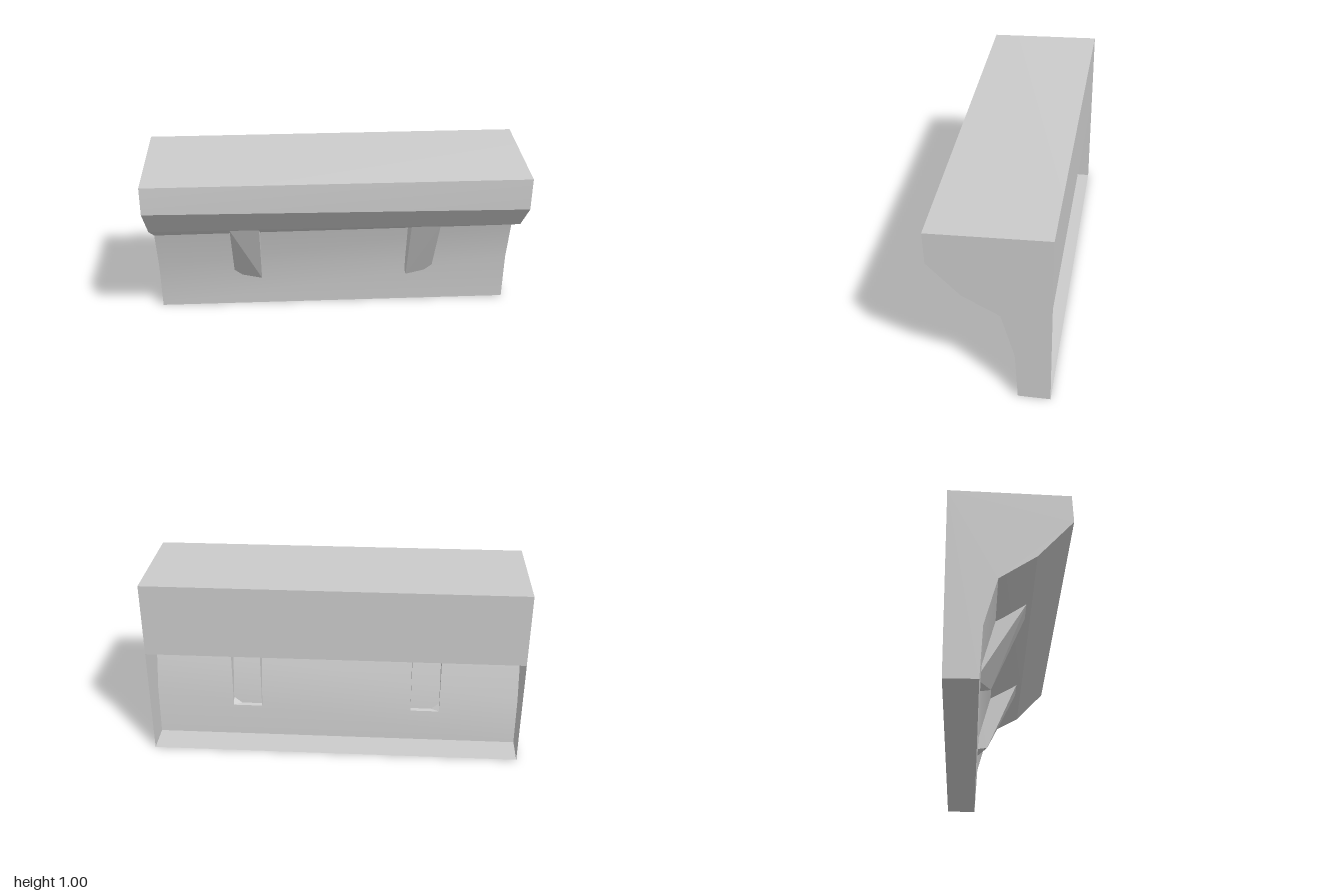
import * as THREE from 'three';

const grey = new THREE.MeshStandardMaterial({ color: 0xcccccc, side: THREE.DoubleSide });
grey.name = 'plain grey';

// Shell outline as [z, y], from the lower edge of the back panel, over the top, down to the base
const rightEnd = [[-0.305, 0.6], [-0.305, 1], [0.297, 0.978], [0.292, 0.803], [0.13, 0.63],
  [-0.057, 0.525], [-0.125, 0.275], [-0.14, 0], [-0.305, 0]];
const leftEnd = [[-0.305, 0.6], [-0.305, 1], [0.298, 0.98], [0.305, 0.832], [0.128, 0.637],
  [-0.057, 0.513], [-0.125, 0.268], [-0.14, 0], [-0.305, 0]];

function addMesh(group, name, geometry) {
  const mesh = new THREE.Mesh(geometry, grey);
  mesh.name = name;
  group.add(mesh);
}

// Lofts outline rows between the two ends; rows within one strip share smooth normals
function strip(from, to) {
  const pos = [], index = [];
  for (let i = from; i <= to; i++) {
    pos.push(-1, leftEnd[i][1], leftEnd[i][0], 1, rightEnd[i][1], rightEnd[i][0]);
  }
  for (let i = 0; i < to - from; i++) {
    const a = 2 * i;
    index.push(a, a + 2, a + 1, a + 1, a + 2, a + 3);
  }
  const g = new THREE.BufferGeometry();
  g.setAttribute('position', new THREE.Float32BufferAttribute(pos, 3));
  g.setIndex(index);
  g.computeVertexNormals();
  return g;
}

// Flat end wall following the full outline
function endWall(outline, side) {
  const points = outline.slice(1).map(([z, y]) => new THREE.Vector2(-side * z, y));
  const g = new THREE.ShapeGeometry(new THREE.Shape(points));
  g.rotateY(side * Math.PI / 2);
  g.translate(side, 0, 0);
  return g;
}

// Twisted wedge bracket, open at the back; side = 1 or -1 mirrors it
function bracket(side) {
  const inner = 0.414, outer = 0.572, back = -0.15;
  const A = [inner, 0.617, 0.1], B = [outer, 0.617, 0.1];
  const C = [inner, 0.208, -0.075];
  const F = [outer, 0.197, back], G = [inner, 0.197, back];
  const H = [outer, 0.63, back], K = [inner, 0.63, back];
  const faces = [
    [A, C, B], [B, C, F],   // front
    [C, G, F],              // underside
    [B, F, H],              // outer wall
    [A, K, C], [K, G, C],   // inner wall
  ];
  const pos = [];
  for (const f of faces) {
    const corners = side > 0 ? f : [f[0], f[2], f[1]];
    for (const [x, y, z] of corners) pos.push(side * x, y, z);
  }
  const g = new THREE.BufferGeometry();
  g.setAttribute('position', new THREE.Float32BufferAttribute(pos, 3));
  g.computeVertexNormals();
  return g;
}

export function createModel() {
  const model = new THREE.Group();
  model.name = 'ledge';

  // Long faces of the hollow shell
  addMesh(model, 'backPanel', strip(0, 1));
  addMesh(model, 'topSlab', strip(1, 2));
  addMesh(model, 'frontLip', strip(2, 3));
  addMesh(model, 'upperOverhang', strip(3, 4));
  addMesh(model, 'lowerOverhang', strip(4, 5));
  addMesh(model, 'frontWall', strip(5, 7));
  addMesh(model, 'base', strip(7, 8));

  // End walls
  addMesh(model, 'leftEndWall', endWall(rightEnd, 1));
  addMesh(model, 'rightEndWall', endWall(leftEnd, -1));

  // Support brackets
  addMesh(model, 'leftBracket', bracket(1));
  addMesh(model, 'rightBracket', bracket(-1));

  return model;
}
